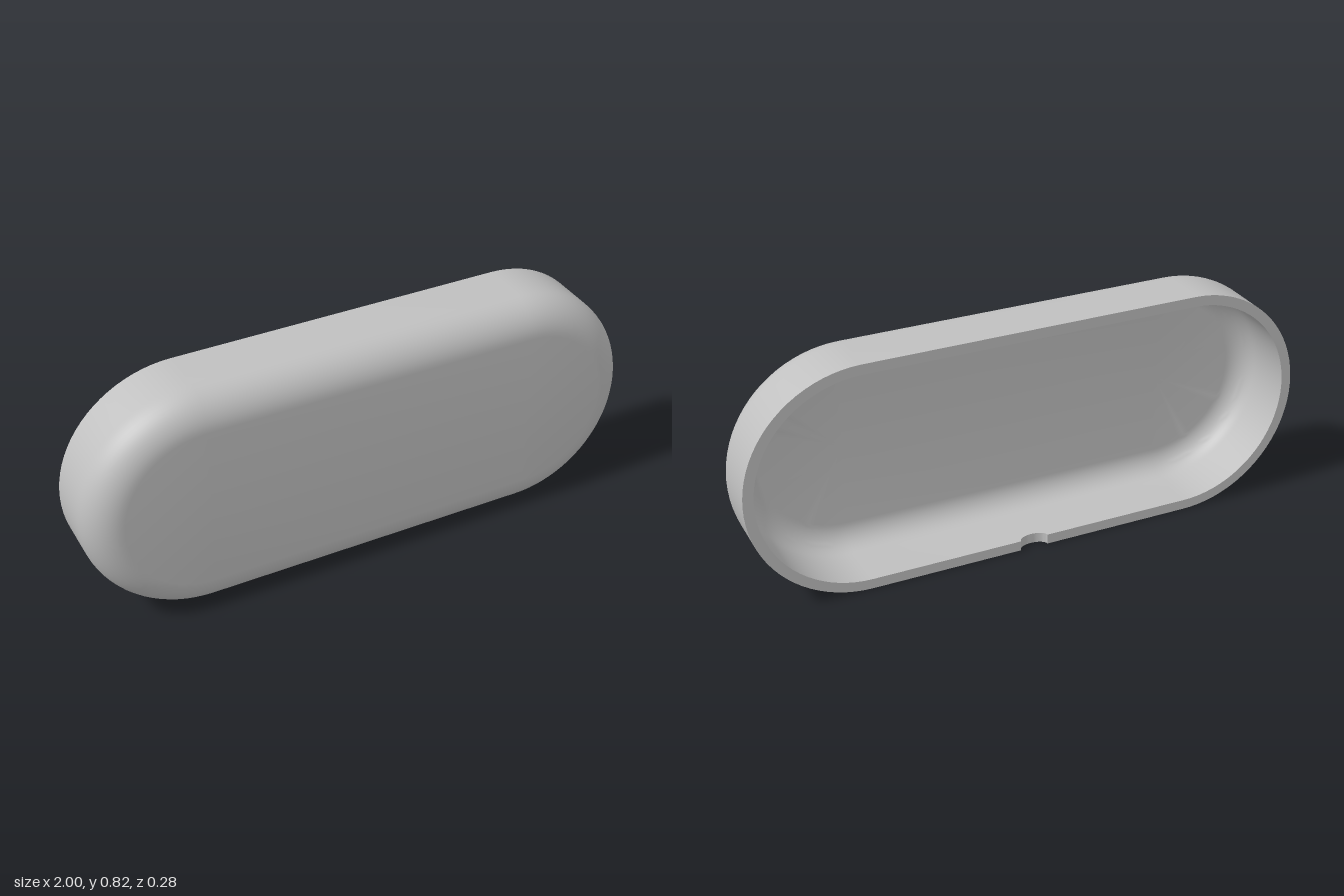
import * as THREE from 'three';
import { toCreasedNormals } from 'three/addons/utils/BufferGeometryUtils.js';

const R = 0.4115;        // outer end radius
const H = 1 - R;         // half distance between the end centres
const D = 0.139;         // half depth
const FILLET = 0.118;    // outer front edge rounding
const WALL = 0.036;      // shell thickness
const NOTCH_W = 0.05, NOTCH_D = 0.028;

// Stadium outline, counter-clockwise: spine point, outward direction, notch depth
function outline() {
  const pts = [], n = 40;
  for (const side of [1, -1]) {
    for (let i = 0; i <= n; i++) {
      const a = -Math.PI / 2 + Math.PI * i / n;
      pts.push({ cx: side * H, dx: side * Math.cos(a), dy: side * Math.sin(a), cut: 0 });
    }
  }
  // thumb notch in the middle of the lower straight
  for (let i = 0; i <= 16; i++) {
    const a = Math.PI * (1 - i / 16);
    pts.push({ cx: NOTCH_W * Math.cos(a), dx: 0, dy: -1, cut: NOTCH_D * Math.sin(a) });
  }
  return pts;
}

// Wall section from the front centre, round the rim, to the inner floor centre
function section() {
  const rings = [{ inset: R, z: D }];
  const n = 12;
  const round = (r, offset, reverse) => {
    for (let i = 0; i <= n; i++) {
      const a = Math.PI / 2 * (reverse ? 1 - i / n : i / n);
      rings.push({
        inset: offset + r * (1 - Math.sin(a)),
        z: D - offset - r * (1 - Math.cos(a)),
      });
    }
  };
  round(FILLET, 0, false);
  rings.push({ inset: 0, z: -D, rim: true }, { inset: WALL, z: -D, rim: true });
  round(FILLET - WALL, WALL, true);
  rings.push({ inset: R, z: D - WALL });
  return rings;
}

function shellGeometry() {
  const path = outline(), rings = section(), n = path.length;
  const positions = [], index = [];
  rings.forEach((ring, i) => {
    path.forEach((p, j) => {
      const r = R - ring.inset;
      positions.push(p.cx + p.dx * r, R + p.dy * r, ring.z + (ring.rim ? p.cut : 0));
      if (i === rings.length - 1) return;
      const k = (j + 1) % n;
      const a = i * n + j, b = a + n, c = (i + 1) * n + k, d = i * n + k;
      index.push(a, b, c, a, c, d);
    });
  });
  const geometry = new THREE.BufferGeometry();
  geometry.setAttribute('position', new THREE.Float32BufferAttribute(positions, 3));
  geometry.setIndex(index);
  return toCreasedNormals(geometry, 0.5);
}

export function createModel() {
  const group = new THREE.Group();
  group.name = 'cover';
  const grey = new THREE.MeshStandardMaterial({ color: 0xc0c0c0 });
  grey.name = 'light grey';
  const shell = new THREE.Mesh(shellGeometry(), grey);
  shell.name = 'shell';
  group.add(shell);
  return group;
}
